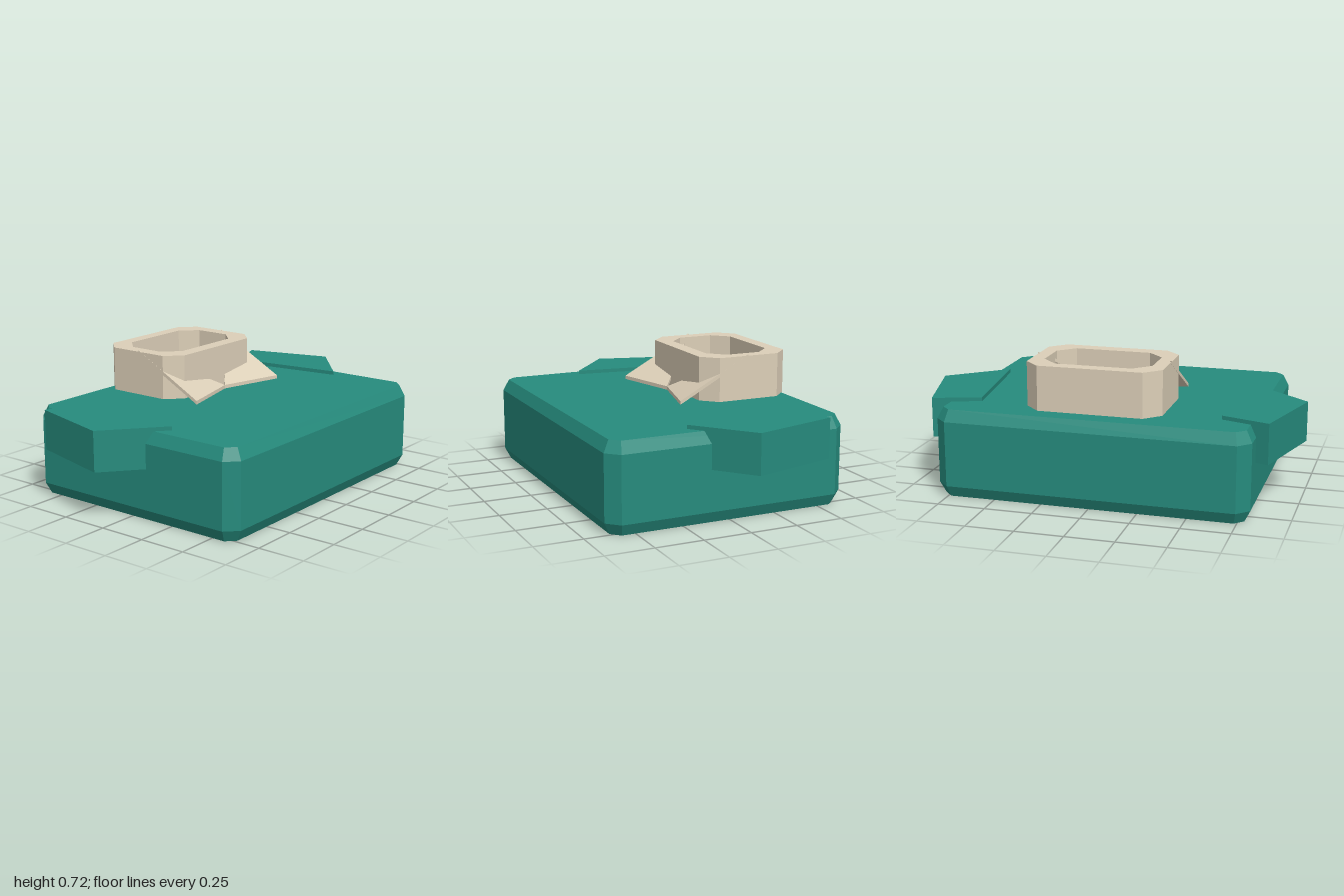
import * as THREE from 'three';

// Plan outline given as [x, z] points
function plan(points) {
  return points.map(([x, z]) => new THREE.Vector2(x, -z));
}

// Rectangle with cut corners
function octagon(x, zBack, zFront, cut) {
  return plan([
    [-x, zFront - cut], [-x + cut, zFront], [x - cut, zFront], [x, zFront - cut],
    [x, zBack + cut], [x - cut, zBack], [-x + cut, zBack], [-x, zBack + cut],
  ]);
}

// Upright prism from y0 to y1 over a plan outline, with optional hole and chamfered rim
function prism(outline, y0, y1, { hole, inset = 0, drop = 0 } = {}) {
  const shape = new THREE.Shape(outline);
  if (hole) shape.holes.push(new THREE.Path(hole));
  const geometry = new THREE.ExtrudeGeometry(shape, {
    depth: y1 - y0 - 2 * drop,
    bevelEnabled: drop > 0, bevelThickness: drop, bevelSize: inset, bevelSegments: 1,
  });
  geometry.rotateX(-Math.PI / 2);
  geometry.translate(0, y0 + drop, 0);
  return geometry;
}

export function createModel() {
  const group = new THREE.Group();
  const teal = new THREE.MeshStandardMaterial({ color: 0x268b7d });
  teal.name = 'teal cloth';
  const cream = new THREE.MeshStandardMaterial({ color: 0xdccfb8 });
  cream.name = 'cream collar cloth';

  const add = (name, geometry, material) => {
    const mesh = new THREE.Mesh(geometry, material);
    mesh.name = name;
    group.add(mesh);
  };

  // Chamfered torso block
  add('torso', prism(octagon(0.78, -0.615, 0.615, 0.045), 0, 0.46, { inset: 0.03, drop: 0.06 }), teal);

  // Standing collar ring
  add('collar', prism(octagon(0.35, -0.583, -0.085, 0.08), 0.48, 0.71,
    { hole: octagon(0.28, -0.515, -0.16, 0.083) }), cream);

  for (const [side, s] of [['left', 1], ['right', -1]]) {
    // Short sleeve, sunk into the torso side
    const sleeve = [[0.875, -0.5], [0.63, -0.42], [0.71, 0.2], [1, -0.045]];
    add(side + 'Sleeve', prism(plan(sleeve.map(([x, z]) => [s * x, z])), 0.272, 0.48), teal);

    // Triangular collar flap, a thin plate sloping up from its front edge
    const flap = [[0, -0.03], [0.351, 0.06], [0.351, -0.33]];
    const geometry = prism(plan(flap.map(([x, z]) => [s * x, z])), 0.488, 0.507);
    const p = geometry.attributes.position;
    for (let i = 0; i < p.count; i++) {
      const frontZ = -0.03 + 0.2564 * Math.abs(p.getX(i));
      p.setY(i, p.getY(i) + 0.54 * (frontZ - p.getZ(i)));
    }
    geometry.computeVertexNormals();
    add(side + 'CollarFlap', geometry, cream);
  }
  return group;
}
